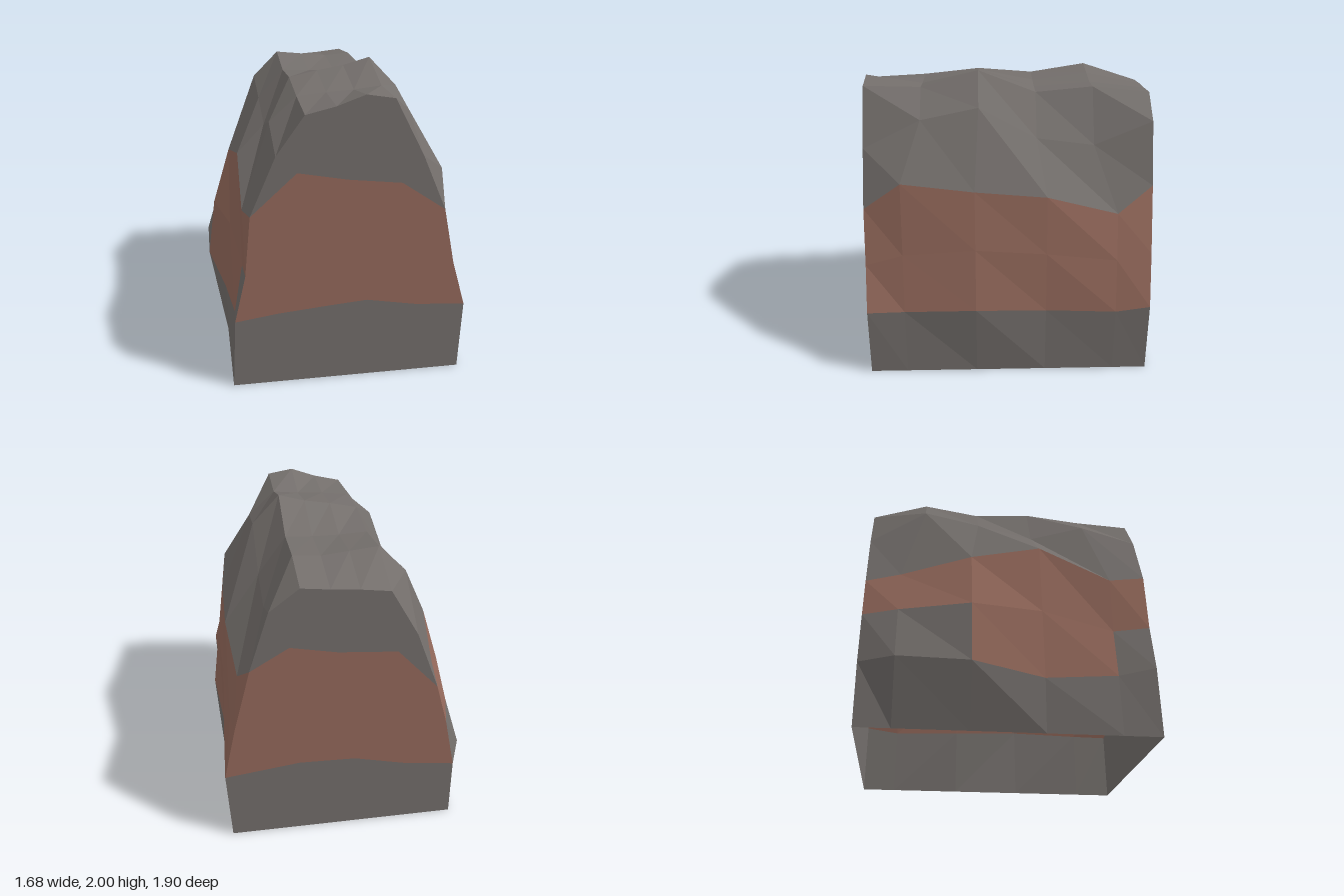
import * as THREE from 'three';

const stone = new THREE.MeshStandardMaterial({ color: 0x746f6c, flatShading: true, side: THREE.DoubleSide });
stone.name = 'grey stone';
const clay = new THREE.MeshStandardMaterial({ color: 0x956a5c, flatShading: true, side: THREE.DoubleSide });
clay.name = 'brown clay';

// Stations run from the front (+z) to the back (-z); the sides are staggered against the top.
const zTop = [0.95, 0.57, 0.19, -0.19, -0.57, -0.95];
const zSide = [0.95, 0.70, 0.22, -0.25, -0.72, -0.95];

// Side rows as [x, y] per station
const leftRows = [ // x < 0, from the ground up
  [[-0.735, 0], [-0.735, 0], [-0.735, 0], [-0.735, 0], [-0.735, 0], [-0.735, 0]],
  [[-0.71, 0.47], [-0.70, 0.41], [-0.74, 0.36], [-0.84, 0.42], [-0.835, 0.43], [-0.735, 0.42]],
  [[-0.635, 0.79], [-0.64, 0.75], [-0.69, 0.85], [-0.785, 0.84], [-0.72, 0.80], [-0.66, 0.78]],
  [[-0.595, 1.19], [-0.63, 1.14], [-0.62, 1.37], [-0.66, 1.25], [-0.60, 1.12], [-0.58, 1.07]],
];
const rightRows = [ // x > 0, from the top down
  [[0.645, 1.165], [0.69, 1.355], [0.73, 1.31], [0.735, 1.27], [0.69, 1.13], [0.62, 1.30]],
  [[0.72, 0.79], [0.745, 0.87], [0.785, 0.92], [0.77, 0.88], [0.755, 0.82], [0.735, 0.86]],
  [[0.81, 0.475], [0.80, 0.475], [0.84, 0.50], [0.795, 0.47], [0.81, 0.46], [0.815, 0.495]],
  [[0.79, 0], [0.79, 0], [0.79, 0], [0.79, 0], [0.79, 0], [0.79, 0]],
];

// Heights of the crown: one row per x, one value per station
const crownX = [-0.43, -0.25, -0.06, 0.12, 0.30, 0.49];
const crownY = [
  [1.57, 1.68, 1.56, 1.65, 1.73, 1.47],
  [1.82, 1.84, 1.88, 1.85, 1.91, 1.785],
  [1.865, 1.86, 1.92, 1.84, 1.89, 1.81],
  [1.93, 1.87, 1.95, 1.84, 1.87, 1.825],
  [1.90, 1.89, 2.0, 1.85, 1.885, 1.845],
  [1.53, 1.72, 1.80, 1.59, 1.54, 1.70],
];

// Arch cross-section: up the left side, over the crown, down the right side
function section(i) {
  const side = rows => rows.map(r => [r[i][0], r[i][1], zSide[i]]);
  const crown = crownX.map((x, k) => [x, crownY[k][i], zTop[i]]);
  return [...side(leftRows), ...crown, ...side(rightRows)];
}

// Brown cells: a band on both sides, broken near both ends of the left side
function isClay(i, j) {
  if (j === 1) return i === 1 || i === 2 || i === 3;
  return j === 2 || j === 10 || j === 11;
}
// The band on the left is open at the back, where the lower cells are grey
const cellIsClay = (i, j) => isClay(i, j) && !(j === 1 && i === 3);

function shell(sections, wanted) {
  const pos = [];
  for (let i = 0; i < sections.length - 1; i++) {
    for (let j = 0; j < sections[i].length - 1; j++) {
      if (cellIsClay(i, j) !== wanted) continue;
      const a = sections[i][j], b = sections[i][j + 1];
      const c = sections[i + 1][j + 1], d = sections[i + 1][j];
      pos.push(...a, ...b, ...c, ...a, ...c, ...d);
    }
  }
  const g = new THREE.BufferGeometry();
  g.setAttribute('position', new THREE.Float32BufferAttribute(pos, 3));
  g.computeVertexNormals();
  return g;
}

function createModel() {
  const model = new THREE.Group();
  model.name = 'boulder';
  const add = (geo, mat, name) => {
    const m = new THREE.Mesh(geo, mat);
    m.name = name;
    model.add(m);
    return m;
  };

  // Faceted shell, open underneath
  const sections = zTop.map((_, i) => section(i));
  add(shell(sections, false), stone, 'stoneShell');
  add(shell(sections, true), clay, 'clayBandSides');

  // Flat end walls, each cut into base, band and crown
  const ends = [
    { name: 'front', s: sections[0],
      low: [[-0.43, 0.51], [-0.1, 0.54], [0.15, 0.56], [0.48, 0.50]],
      high: [[-0.30, 1.46], [0.02, 1.40], [0.36, 1.36]] },
    { name: 'back', s: sections[5],
      low: [[-0.38, 0.47], [-0.05, 0.55], [0.32, 0.56]],
      high: [[-0.31, 1.36], [0.07, 1.39], [0.37, 1.45]] },
  ];
  for (const { name, s, low, high } of ends) {
    const wall = (pts, mat, part) => {
      const shape = new THREE.Shape(pts.map(p => new THREE.Vector2(p[0], p[1])));
      const geo = new THREE.ShapeGeometry(shape);
      if (name === 'back') geo.scale(-1, 1, 1).rotateY(Math.PI); // face outward
      add(geo, mat, name + part).position.z = s[0][2];
    };
    const lowBack = [...low].reverse(), highBack = [...high].reverse();
    wall([s[0], s[1], ...low, s[12], s[13]], stone, 'Base');
    wall([s[1], s[2], s[3], ...high, s[10], s[11], s[12], ...lowBack], clay, 'ClayBand');
    wall([...s.slice(3, 11), ...highBack], stone, 'Crown');
  }
  return model;
}

export { createModel };
